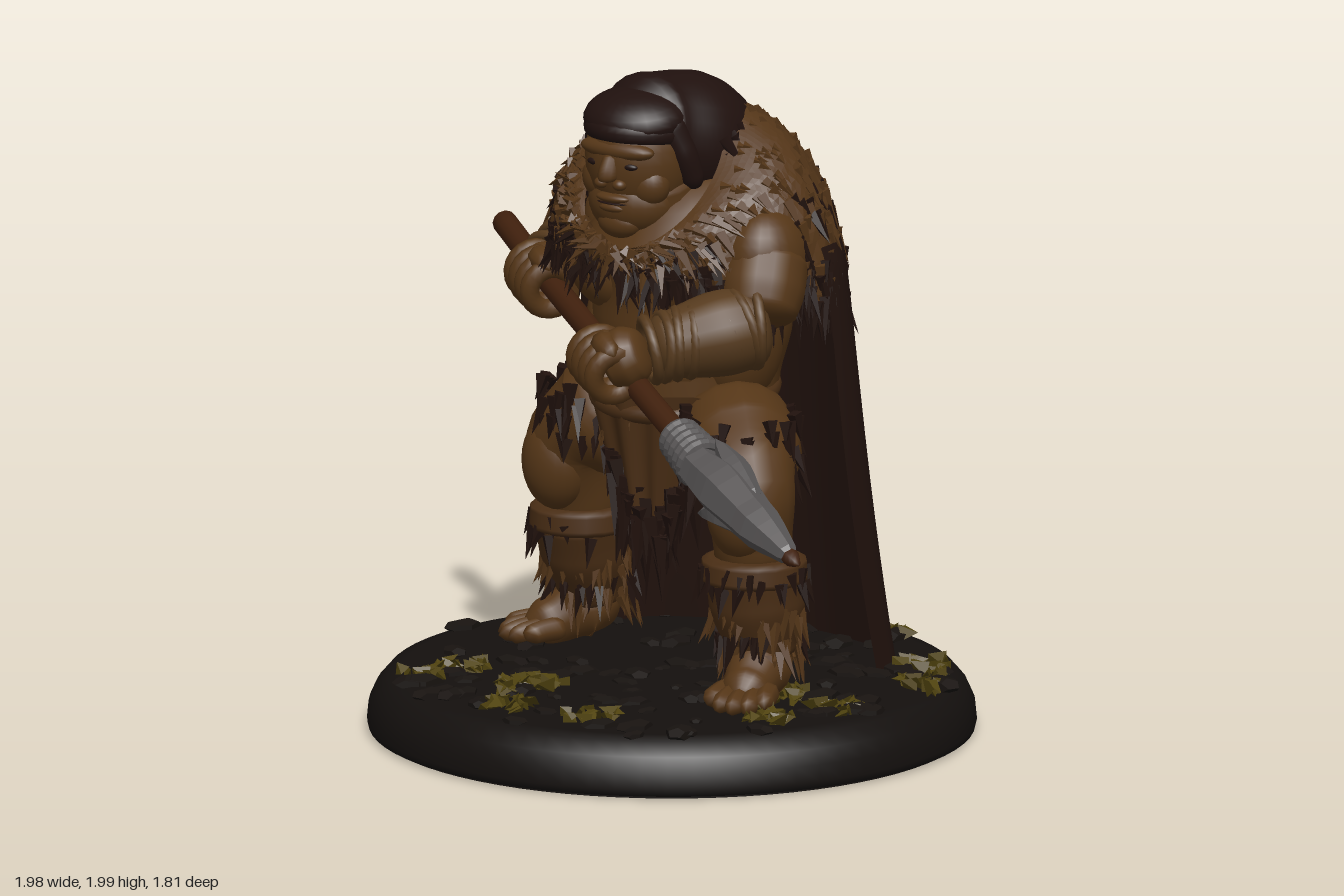
import * as THREE from 'three';
import { mergeGeometries, mergeVertices } from 'three/addons/utils/BufferGeometryUtils.js';
import { ParametricGeometry } from 'three/addons/geometries/ParametricGeometry.js';

const { sin, cos, PI, sqrt, abs, min, max } = Math;
const V = (x, y, z) => new THREE.Vector3(x, y, z);
const paint = (color, extra = {}) => new THREE.MeshStandardMaterial({ color, side: THREE.DoubleSide, ...extra });
const skin = paint(0x553617), wrap = paint(0x563a1d), leather = paint(0x4a2e15);
const cloth = paint(0x21120d), hair = paint(0x20110e), wood = paint(0x40200d);
const darkFur = paint(0x21120d, { flatShading: true }), tanFur = paint(0x533518, { flatShading: true });
const stone = paint(0x575454, { flatShading: true }), earth = paint(0x14100e);
const rubble = paint(0x181310, { flatShading: true }), moss = paint(0x50430f, { flatShading: true });
const UP = V(0, 1, 0);

let seed = 7;
const rnd = () => (seed = (seed * 16807) % 2147483647) / 2147483647;
const jitter = (s) => (rnd() - 0.5) * 2 * s;

export function createModel() {
  const root = new THREE.Group();
  let parent = root;
  const section = (name) => { parent = new THREE.Group(); parent.name = name; root.add(parent); };
  const add = (name, geo, mat) => {
    const m = new THREE.Mesh(geo, mat);
    m.name = name;
    parent.add(m);
    return m;
  };
  const smooth = (g) => {
    g.deleteAttribute('uv'); g.deleteAttribute('normal');
    g = mergeVertices(g, 1e-5);
    g.computeVertexNormals();
    return g;
  };
  const ball = (name, mat, [x, y, z], [rx, ry, rz], rot = [0, 0, 0]) => {
    const m = add(name, new THREE.SphereGeometry(1, 24, 16), mat);
    m.position.set(x, y, z); m.scale.set(rx, ry, rz); m.rotation.set(...rot);
  };
  // Round-ended limb through points [x, y, z, radius]
  const limb = (name, mat, pts, cap = 0.15, sides = 16, steps = 28) => {
    const curve = new THREE.CatmullRomCurve3(pts.map((p) => V(p[0], p[1], p[2])));
    const g = new THREE.TubeGeometry(curve, steps, 1, sides), pos = g.attributes.position;
    const p = V(0, 0, 0);
    for (let i = 0; i <= steps; i++) {
      const u = i / steps, t = curve.getUtoTmapping(u) * (pts.length - 1);
      const k = min(Math.floor(t), pts.length - 2), f = THREE.MathUtils.smoothstep(t - k, 0, 1);
      let r = pts[k][3] + (pts[k + 1][3] - pts[k][3]) * f;
      const e = min(u, 1 - u) / cap;
      if (e < 1) r *= sqrt(max(0, 1 - (1 - e) ** 2));
      const c = curve.getPointAt(u);
      for (let j = 0; j <= sides; j++) {
        const n = i * (sides + 1) + j;
        p.fromBufferAttribute(pos, n).sub(c).multiplyScalar(r).add(c);
        pos.setXYZ(n, p.x, p.y, p.z);
      }
    }
    add(name, smooth(g), mat);
  };
  const surface = (name, mat, fn, nu, nv) =>
    add(name, smooth(new ParametricGeometry((u, v, t) => t.copy(fn(u, v)), nu, nv)), mat);
  // Pointed locks: place() gives [root, direction]
  const tufts = (name, mat, n, len, width, place) => {
    const list = [];
    for (let i = 0; i < n; i++) {
      const [p, d] = place();
      const l = len * (0.7 + 0.6 * rnd());
      const g = new THREE.ConeGeometry(width, l, 4).translate(0, l * 0.35, 0);
      d.add(V(jitter(0.25), jitter(0.15), jitter(0.25))).normalize();
      g.applyQuaternion(new THREE.Quaternion().setFromUnitVectors(UP, d)).translate(p.x, p.y, p.z);
      list.push(g);
    }
    add(name, mergeGeometries(list), mat);
  };
  const ringTufts = (name, mat, n, [x, y, z], rx, rz, len) =>
    tufts(name, mat, n, len, 0.02, () => {
      const a = rnd() * 2 * PI;
      return [V(x + rx * sin(a), y + jitter(0.035), z + rz * cos(a)), V(sin(a) * 0.25, -1, cos(a) * 0.25)];
    });

  // Round base with soil, stones and moss
  section('base');
  const profile = [[0, 0.01], [0.9, 0.01], [0.905, 0.03], [0.9, 0.08], [0.88, 0.125], [0.845, 0.165], [0.8, 0.175], [0, 0.185]];
  add('plinth', new THREE.LatheGeometry(profile.map((p) => new THREE.Vector2(...p)), 72), earth).position.set(-0.07, 0, 0);
  add('underside', new THREE.CylinderGeometry(0.88, 0.88, 0.02, 72), earth).position.set(-0.07, 0.01, 0);
  const rocks = [], leaves = [];
  for (let i = 0; i < 110; i++) {
    const a = rnd() * 2 * PI, r = 0.83 * sqrt(rnd()), s = 0.02 + 0.03 * rnd();
    rocks.push(new THREE.DodecahedronGeometry(s).scale(1.5, 0.5, 1).rotateY(a * 3).translate(-0.07 + r * sin(a), 0.18, r * cos(a)));
  }
  add('stones', mergeGeometries(rocks), rubble);
  const clumps = [[-0.42, -0.7], [0.2, -0.7], [-0.25, -0.64], [0.54, -0.44], [0.66, -0.26], [0.6, -0.38], [0.43, 0.1], [-0.57, 0.36],
    [-0.6, 0.5], [-0.33, 0.5], [-0.2, 0.66], [0.1, 0.64], [-0.25, 0.4], [0.54, 0.34], [-0.12, -0.8], [0.62, 0.12]];
  for (const [x, z] of clumps) for (let i = 0; i < 15; i++) {
    leaves.push(new THREE.TetrahedronGeometry(0.022 + 0.02 * rnd()).scale(1.2, 0.5, 1).rotateX(rnd() * 3).rotateY(rnd() * 6)
      .translate(x + jitter(0.065), 0.192 + jitter(0.01), z + jitter(0.065)));
  }
  add('moss', mergeGeometries(leaves), moss);

  // Cloak hanging from the shoulders to the ground
  section('cloak');
  surface('cloakSheet', cloth, (u, v) => {
    const a = (u - 0.5) * 3.3, fold = 1 + 0.012 * v * sin(a * 11);
    return V(-0.05 + (0.42 + 0.095 * sqrt(v)) * fold * sin(a), 1.5 - 1.32 * v,
      -0.17 - 0.16 * v * v - (0.3 + 0.12 * v * (1 - v)) * fold * cos(a));
  }, 72, 32);

  // Torso with chest, belly and hips
  section('torso');
  limb('trunk', skin, [[-0.08, 0.82, -0.1, 0.22], [-0.08, 1.05, -0.1, 0.27], [-0.08, 1.25, -0.12, 0.3], [-0.08, 1.48, -0.13, 0.33], [-0.1, 1.72, -0.1, 0.2]], 0.12, 28);
  ball('belly', skin, [-0.09, 1.15, -0.02], [0.25, 0.19, 0.2]);
  for (const s of [-1, 1]) {
    ball('chestMuscle', skin, [-0.09 + s * 0.13, 1.39, 0.05], [0.17, 0.13, 0.13], [0, 0, s * 0.2]);
    ball('flank', skin, [-0.08 + s * 0.2, 1.2, -0.08], [0.11, 0.2, 0.17]);
  }
  const belt = add('belt', new THREE.TorusGeometry(0.26, 0.028, 10, 40), leather);
  belt.position.set(-0.08, 1.02, -0.08); belt.rotation.x = PI / 2 + 0.1;
  ringTufts('beltFur', tanFur, 50, [-0.08, 1.0, -0.08], 0.26, 0.25, 0.11);

  // Loincloth
  surface('loincloth', leather, (u, v) => {
    const w = 0.21 * (1 - 0.45 * v), s = u * 2 - 1;
    return V(-0.08 + w * s, 1.06 - 0.38 * v, 0.2 - 0.07 * s * s + 0.012 * sin(u * 19) - 0.05 * v);
  }, 24, 12);
  tufts('loinclothFur', darkFur, 75, 0.17, 0.03, () => {
    const s = jitter(1);
    return [V(-0.04 + 0.18 * s, 0.62 + 0.22 * abs(s) + jitter(0.07), 0.13 + jitter(0.03)), V(-s * 0.15, -1, 0)];
  });

  // Legs: hip, knee, ankle, then toe direction
  const leg = (name, hip, knee, ankle, turn) => {
    section(name);
    const mid = (a, b, t) => a.map((v, i) => v + (b[i] - v) * t);
    limb('thigh', skin, [[...hip, 0.17], [...mid(hip, knee, 0.55), 0.185], [...knee, 0.14], [...mid(knee, ankle, 0.3), 0.12], [...mid(knee, ankle, 0.5), 0.11]], 0.15);
    ball('kneeCap', skin, [knee[0] + 0.04 * sin(turn), knee[1] - 0.06, knee[2] + 0.05], [0.11, 0.15, 0.1]);
    const top = mid(knee, ankle, 0.4), low = mid(knee, ankle, 0.9);
    limb('shinWrap', leather, [[...top, 0.15], [...mid(top, low, 0.4), 0.145], [...low, 0.105]], 0.05, 18);
    limb('cuff', leather, [[top[0], top[1] + 0.03, top[2], 0.155], [top[0], top[1] - 0.07, top[2], 0.16]], 0.2, 18, 10);
    ringTufts('cuffFringe', darkFur, 36, [top[0], top[1] - 0.04, top[2]], 0.16, 0.145, 0.08);
    for (const t of [0.5, 0.75, 0.92])
      ringTufts('bootFur', t === 0.75 ? darkFur : tanFur, 30, mid(top, low, t), 0.15 - 0.035 * t, 0.14 - 0.035 * t, 0.1);
    // Fur hem over the thigh
    const hem = mid(hip, knee, 0.62);
    tufts('thighFur', darkFur, 80, 0.1, 0.024, () => {
      const a = rnd() * 2 * PI, r = 0.168;
      return [V(hem[0] + r * sin(a), hem[1] + 0.05 + jitter(0.09), hem[2] + r * cos(a)), V(sin(a) * 0.3, -1, cos(a) * 0.3)];
    });
    const fwd = (d, s, y) => [ankle[0] + d * sin(turn) + s * cos(turn), y, ankle[2] + d * cos(turn) - s * sin(turn)];
    limb('foot', skin, [[...fwd(-0.06, 0, 0.24), 0.07], [...fwd(0.03, 0, 0.28), 0.1], [...fwd(0.15, 0, 0.235), 0.075], [...fwd(0.23, 0, 0.215), 0.05]], 0.2);
    for (let i = -2; i <= 2; i++)
      limb('toe', skin, [[...fwd(0.12, i * 0.03, 0.23), 0.038], [...fwd(0.23, i * 0.04, 0.22), 0.033], [...fwd(0.31 - 0.014 * i * i, i * 0.045, 0.205), 0.026]], 0.25, 8, 10);
  };
  leg('leftLeg', [0.1, 0.98, -0.06], [0.34, 0.83, 0.18], [0.35, 0.25, 0.12], 0.3);
  leg('rightLeg', [-0.26, 0.98, -0.1], [-0.46, 0.82, -0.04], [-0.49, 0.25, -0.2], -0.6);

  // Spear
  section('spear');
  const shaft = [[-0.98, 1.36, -0.38], [-0.55, 1.27, -0.06], [0, 1.15, 0.32], [0.4, 1.03, 0.56]];
  const shaftCurve = new THREE.CatmullRomCurve3(shaft.map((p) => V(...p)));
  limb('shaft', wood, shaft.map((p) => [...p, 0.037]), 0.015, 12);
  limb('blade', stone, [[0.32, 1.05, 0.52, 0.05], [0.48, 0.99, 0.61, 0.07], [0.6, 0.955, 0.66, 0.088], [0.78, 0.89, 0.74, 0.07], [0.9, 0.85, 0.79, 0.045], [0.98, 0.82, 0.825, 0.012]], 0.04, 7, 14);
  limb('bladeTip', wood, [[0.89, 0.852, 0.785, 0.036], [0.95, 0.83, 0.81, 0.027], [0.998, 0.815, 0.83, 0.008]], 0.1, 7, 8);
  limb('upperBarb', stone, [[0.76, 0.95, 0.71, 0.025], [0.62, 1.01, 0.63, 0.045], [0.5, 1.08, 0.57, 0.015]], 0.1, 6, 8);
  limb('lowerBarb', stone, [[0.82, 0.85, 0.76, 0.025], [0.62, 0.89, 0.69, 0.045], [0.5, 0.87, 0.66, 0.015]], 0.1, 6, 8);
  for (let i = 0; i < 5; i++) {
    const ring = add('binding', new THREE.TorusGeometry(0.05 + 0.003 * i, 0.02, 8, 18), stone);
    ring.position.set(0.34 + i * 0.03, 1.045 - i * 0.0105, 0.525 + i * 0.016);
    ring.lookAt(ring.position.clone().add(V(0.62, -0.2, 0.31)));
  }

  // Arms with wrapped forearms and hands closed round the shaft
  const arm = (name, shoulder, elbow, wrist, grip, shift) => {
    section(name);
    const E = V(...elbow), W = V(...wrist), S = V(...shoulder), dir = W.clone().sub(E).normalize();
    const at = (a, b, t) => a.clone().lerp(b, t).toArray();
    limb('upperArm', skin, [[...shoulder, 0.13], [...at(S, E, 0.5), 0.13], [...elbow, 0.11]], 0.2);
    ball('shoulderMuscle', skin, at(S, E, 0.1), [0.12, 0.15, 0.14]);
    limb('forearm', wrap, [[...at(E, W, -0.12), 0.115], [...at(E, W, 0.3), 0.13], [...wrist, 0.095]], 0.15);
    for (let i = 0; i < 9; i++) {
      const t = i / 8, band = add('armWrap', new THREE.TorusGeometry(0.118 - 0.026 * t, 0.017, 8, 24), wrap);
      band.position.set(...at(E, W, 0.02 + 0.96 * t));
      band.lookAt(band.position.clone().add(dir).add(V(jitter(0.2), jitter(0.2), 0)));
    }
    const axis = shaftCurve.getTangentAt(grip), hold = shaftCurve.getPointAt(grip).add(shift);
    limb('palm', skin, [[...wrist, 0.07], [...at(W, hold, 0.5), 0.095], [...hold.toArray(), 0.085]], 0.2);
    for (let i = 0; i < 4; i++) {
      const f = add('finger', new THREE.TorusGeometry(0.066, 0.034 - 0.002 * abs(i - 1), 10, 20), skin);
      f.position.copy(hold).addScaledVector(axis, (i - 1.5) * 0.05);
      f.lookAt(f.position.clone().add(axis));
    }
    const th = hold.clone().addScaledVector(axis, 0.02).add(V(0, 0.075, 0.02)), te = th.clone().addScaledVector(axis, 0.09);
    limb('thumb', skin, [[...at(W, hold, 0.5), 0.04], [...th.toArray(), 0.04], [...te.toArray(), 0.028]], 0.2, 10, 12);
  };
  arm('leftArm', [0.25, 1.5, -0.04], [0.3, 1.3, 0.08], [0.08, 1.24, 0.33], 0.69, V(0, 0.03, 0.085));
  arm('rightArm', [-0.42, 1.46, -0.26], [-0.58, 1.4, -0.4], [-0.62, 1.31, -0.17], 0.285, V(0, 0, 0.02));

  // Fur mantle, dipping to a point below the chin
  section('mantle');
  const mantle = (u, v) => {
    const a = u * 2 * PI, h = sin(v * PI / 2), d = 1 - cos(v * PI / 2);
    const mix = (p, q, t) => p + (q - p) * t;
    const rough = 1 + 0.014 * sin(a * 22 + 5 * sin(v * 9)) * sin(v * 17);
    return V(mix(-0.12 + 0.21 * sin(a), -0.08 + 0.465 * sin(a), h) * rough,
      mix(1.7 - 0.2 * cos(a), 1.375 + 0.06 * cos(a) - 0.05 * sin(a), d) + 0.075 * sin(PI * v) * abs(sin(a)),
      mix(0.02 + 0.2 * cos(a), -0.15 + 0.35 * cos(a), h) * rough);
  };
  surface('mantleHide', tanFur, mantle, 96, 24);
  const mantleTufts = (name, mat, n, v0, v1, len) => tufts(name, mat, n, len, 0.022, () => {
    const u = rnd(), v = v0 + (v1 - v0) * rnd(), p = mantle(u, v);
    const d = mantle(u, v + 0.03).sub(p).normalize();
    p.y -= 0.015;
    return [p, d.add(V(sin(u * 2 * PI) * 0.08, -0.25, cos(u * 2 * PI) * 0.08))];
  });
  mantleTufts('tanLocks', tanFur, 420, 0.1, 0.9, 0.1);
  mantleTufts('darkLocks', darkFur, 130, 0.5, 0.88, 0.09);
  mantleTufts('darkFringe', darkFur, 320, 0.84, 1, 0.13);

  // Head
  section('head');
  limb('neck', skin, [[-0.13, 1.44, -0.04, 0.17], [-0.14, 1.7, 0.02, 0.16]], 0.1);
  ball('skull', skin, [-0.15, 1.75, 0.05], [0.165, 0.2, 0.165]);
  ball('jaw', skin, [-0.15, 1.62, 0.075], [0.145, 0.115, 0.13]);
  ball('chin', skin, [-0.15, 1.565, 0.15], [0.075, 0.05, 0.05]);
  ball('brow', skin, [-0.15, 1.79, 0.165], [0.13, 0.035, 0.05]);
  limb('nose', skin, [[-0.15, 1.78, 0.19, 0.025], [-0.15, 1.72, 0.215, 0.03], [-0.15, 1.695, 0.215, 0.034]], 0.25, 10, 10);
  ball('upperLip', skin, [-0.15, 1.645, 0.185], [0.06, 0.016, 0.03]);
  ball('lowerLip', skin, [-0.15, 1.615, 0.18], [0.055, 0.018, 0.03]);
  ball('mouth', hair, [-0.15, 1.63, 0.187], [0.056, 0.005, 0.024]);
  for (const s of [-1, 1]) {
    ball('nostril', skin, [-0.15 + s * 0.033, 1.69, 0.2], [0.022, 0.018, 0.022]);
    ball('cheek', skin, [-0.15 + s * 0.08, 1.685, 0.12], [0.07, 0.07, 0.06]);
    ball('eye', hair, [-0.15 + s * 0.06, 1.748, 0.19], [0.03, 0.012, 0.015]);
    limb('sideHair', hair, [[-0.15 + s * 0.1, 1.88, 0.07, 0.06], [-0.15 + s * 0.15, 1.79, 0.05, 0.042], [-0.15 + s * 0.17, 1.66, 0, 0.035]], 0.2);
  }
  ball('fringe', hair, [-0.15, 1.87, 0.07], [0.165, 0.085, 0.145], [0.15, 0, 0]);
  limb('hairCap', hair, [[-0.15, 1.85, 0.16, 0.08], [-0.145, 1.83, 0.04, 0.168], [-0.11, 1.775, -0.12, 0.2], [-0.08, 1.68, -0.3, 0.17]], 0.24, 24);
  const band = add('headband', new THREE.TorusGeometry(0.148, 0.018, 10, 36), hair);
  band.position.set(-0.15, 1.835, 0.055); band.rotation.x = PI / 2 - 0.08; band.scale.z = 1.6;
  tufts('hairLocks', hair, 70, 0.12, 0.024, () => {
    const a = PI / 2 + rnd() * PI;
    return [V(-0.11 + 0.2 * sin(a), 1.78 + jitter(0.05), -0.06 + 0.24 * cos(a)), V(sin(a) * 0.5, -0.8, cos(a) * 0.6)];
  });
  return root;
}
